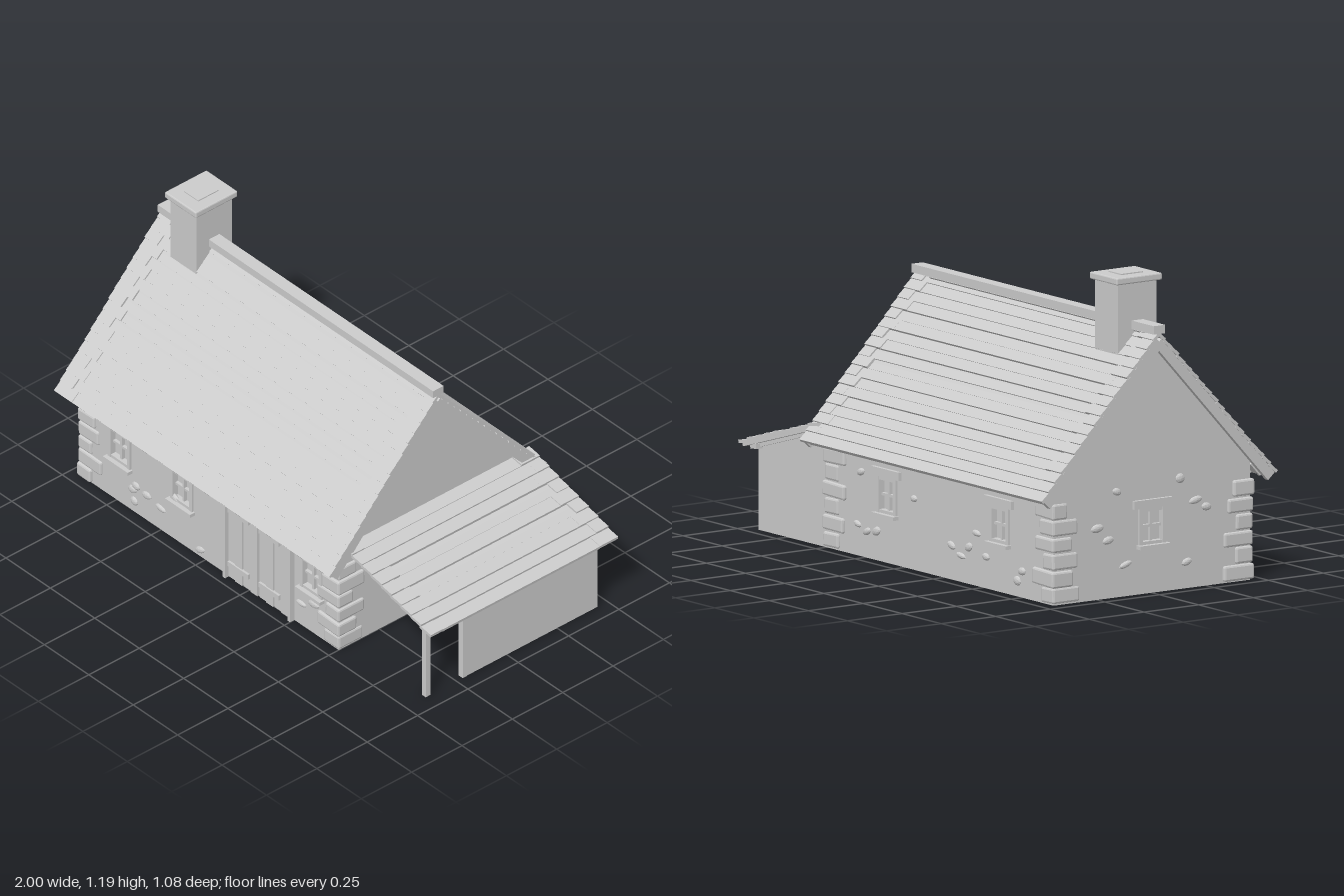
import * as THREE from 'three';
import { RoundedBoxGeometry } from 'three/addons/geometries/RoundedBoxGeometry.js';

const mat = new THREE.MeshStandardMaterial({ color: 0xcccccc, flatShading: true });
mat.name = 'plain grey';

let seed = 7;
const rand = () => (seed = (seed * 16807) % 2147483647) / 2147483647;
const jitter = (a) => (rand() - 0.5) * 2 * a;

function add(parent, name, geo, x = 0, y = 0, z = 0) {
  const m = new THREE.Mesh(geo, mat);
  m.name = name;
  m.position.set(x, y, z);
  parent.add(m);
  return m;
}
// box given by its min and max corners
function box(parent, name, x0, x1, y0, y1, z0, z1) {
  return add(parent, name, new THREE.BoxGeometry(x1 - x0, y1 - y0, z1 - z0),
    (x0 + x1) / 2, (y0 + y1) / 2, (z0 + z1) / 2);
}
function group(parent, name, x = 0, y = 0, z = 0) {
  const g = new THREE.Group();
  g.name = name;
  g.position.set(x, y, z);
  parent.add(g);
  return g;
}

const T = 0.08;                 // wall thickness
const X0 = -0.95, X1 = 0.5, Z = 0.45;
const PITCH = Math.atan(1.09);  // main roof slope

// flat wall outline with window holes, extruded outwards up to local z = 0
function wall(parent, name, outline, windows, depth = T) {
  const s = new THREE.Shape(outline.map(([x, y]) => new THREE.Vector2(x, y)));
  for (const x of windows) {
    s.holes.push(new THREE.Path([[-0.06, 0.18], [-0.06, 0.325], [0.06, 0.325], [0.06, 0.18]]
      .map(([a, b]) => new THREE.Vector2(x + a, b))));
  }
  add(parent, name, new THREE.ExtrudeGeometry(s, { depth, bevelEnabled: false }), 0, 0, -depth);
}

// window in a wall whose outer face is local z = 0
function windowUnit(parent, x) {
  const w = group(parent, 'window', x);
  box(w, 'windowLintel', -0.088, 0.088, 0.325, 0.357, -0.02, 0.014);
  box(w, 'windowSill', -0.07, 0.07, 0.172, 0.186, -0.03, 0.025);
  for (const s of [-1, 1]) {
    const j = box(w, 'windowJamb', -0.008, 0.008, 0.186, 0.325, -0.03, 0.008);
    j.position.x = s * 0.054;
  }
  box(w, 'windowHead', -0.046, 0.046, 0.311, 0.325, -0.03, 0.006);
  box(w, 'windowFoot', -0.046, 0.046, 0.186, 0.198, -0.03, 0.006);
  box(w, 'windowMullion', -0.005, 0.005, 0.198, 0.311, -0.028, -0.004);
  box(w, 'windowTransom', -0.046, 0.046, 0.25, 0.26, -0.028, -0.005);
  box(w, 'windowPane', -0.046, 0.046, 0.198, 0.311, -0.022, -0.018);
}

// small stones showing on both faces of a wall
function wallStones(parent, spots) {
  for (const [x, y] of spots) {
    const w = 0.026 + jitter(0.006), h = 0.015 + jitter(0.004), tilt = jitter(0.5);
    for (const z of [0, -T]) {
      const m = add(parent, 'wallStone', new THREE.IcosahedronGeometry(1, 1), x, y, z);
      m.scale.set(w, h, 0.01);
      m.rotation.z = tilt;
    }
  }
}

// overlapping rows of boards running along x and stepping down along local z
function shingles(parent, length, slope, rows, endWidth) {
  const p = slope / rows, half = length / 2;
  for (let i = 0; i < rows; i++) {
    const z = (i + 0.5) * p, tilt = 0.12;
    const row = (name, x0, x1, lift) => {
      const m = box(parent, name, x0, x1, -0.012, 0, -p * 0.55, p * 0.5);
      m.position.y += lift - 0.003;
      m.position.z += z;
      m.rotation.x = -tilt;
    };
    const a = half - endWidth - (i % 2) * 0.03, b = half - endWidth - ((i + 1) % 2) * 0.03;
    row('shingleRow', -a, b, -0.003 + jitter(0.004));
    row('endShingle', -half, -a, 0.002 + jitter(0.002));
    row('endShingle', b, half, 0.002 + jitter(0.002));
  }
}

function cottageWalls(root) {
  const house = group(root, 'cottageWalls');
  const long = [[X0 + T, 0], [X1 - T, 0], [X1 - T, 0.445], [X0 + T, 0.445]];
  const front = group(house, 'frontWall', 0, 0, Z);
  const frontWindows = [-0.73, -0.38, 0.35];
  wall(front, 'frontWallPanel', long, frontWindows);
  frontWindows.forEach((x) => windowUnit(front, x));
  wallStones(front, [[-0.65, 0.05], [-0.64, 0.125], [-0.66, 0.1], [-0.58, 0.115], [-0.5, 0.1],
    [-0.42, 0.19], [-0.28, 0.03], [0.29, 0.1], [0.36, 0.135], [0.41, 0.09]]);

  const back = group(house, 'backWall', 0, 0, -Z);
  back.rotation.y = Math.PI;
  const backWindows = [-0.11, 0.61];
  wall(back, 'backWallPanel', long.map(([x, y]) => [-x, y]).reverse(), backWindows);
  backWindows.forEach((x) => windowUnit(back, x));
  wallStones(back, [[-0.28, 0.32], [-0.3, 0.12], [-0.24, 0.1], [-0.18, 0.11], [0.06, 0.27],
    [0.3, 0.13], [0.36, 0.1], [0.41, 0.14], [0.46, 0.2], [0.52, 0.12], [0.75, 0.1], [0.72, 0.06]]);

  // gable ends
  const gable = [[-Z, 0], [Z, 0], [Z, 0.455], [0, 0.945], [-Z, 0.455]];
  const left = group(house, 'leftGable', X1);
  left.rotation.y = Math.PI / 2;
  wall(left, 'leftGablePanel', gable, []);
  const right = group(house, 'rightGable', X0);
  right.rotation.y = -Math.PI / 2;
  wall(right, 'rightGablePanel', gable, [0]);
  windowUnit(right, 0);
  wallStones(right, [[-0.25, 0.27], [-0.2, 0.22], [0.2, 0.33], [0.25, 0.3], [0.16, 0.1],
    [-0.12, 0.12], [-0.16, 0.4], [0.13, 0.42]]);

  // quoins, long side alternating between the two faces of each corner
  for (const [cx, sx] of [[X0, 1], [X1, -1]]) for (const sz of [-1, 1]) {
    for (let i = 0; i < 6; i++) {
      const h = 0.058 + jitter(0.005), out = 0.009 + jitter(0.005);
      const lx = (i % 2 ? 0.115 : 0.075) + jitter(0.012), lz = (i % 2 ? 0.075 : 0.115) + jitter(0.012);
      const g = new RoundedBoxGeometry(lx + out, h, lz + out, 1, 0.008);
      const m = add(house, 'cornerStone', g, cx + sx * (lx - out) / 2, 0.034 + i * 0.064, sz * (Z - (lz - out) / 2));
      m.rotation.z = jitter(0.04);
    }
  }
}

function door(root) {
  const d = group(root, 'doubleDoor', 0, 0, Z);
  box(d, 'doorPost', -0.13, -0.115, 0, 0.4, -0.01, 0.022);
  box(d, 'doorPost', 0.235, 0.25, 0, 0.4, -0.01, 0.022);
  box(d, 'doorHead', -0.115, 0.235, 0.385, 0.4, -0.01, 0.02);
  for (const x of [-0.112, 0.062]) {
    for (let i = 0; i < 4; i++) {
      const w = 0.0425;
      box(d, 'doorPlank', x + i * w, x + (i + 1) * w - 0.004, 0.006, 0.384, -0.01, 0.008 + (i % 2) * 0.004);
    }
    for (const y of [0.06, 0.31]) box(d, 'doorBatten', x + 0.006, x + 0.12, y, y + 0.022, 0, 0.018);
  }
}

function mainRoof(root) {
  const roof = group(root, 'mainRoof', -0.225, 1.0, 0);
  for (const turn of [0, Math.PI]) {
    const side = group(roof, 'roofSide');
    side.rotation.y = turn;
    const slope = group(side, 'roofSlope');
    slope.rotation.x = PITCH;
    box(slope, 'roofDeck', -0.765, 0.765, -0.04, -0.01, 0.03, 0.79);
    for (const s of [-1, 1]) {
      const b = box(slope, 'bargeBoard', -0.01, 0.01, -0.052, -0.012, 0.03, 0.795);
      b.position.x = s * 0.763;
    }
    for (let i = 0; i < 24; i++) {
      const x = -0.72 + i * 0.0626;
      box(slope, 'rafterTail', x - 0.006, x + 0.006, -0.048, -0.04, 0.72, 0.785);
    }
    shingles(slope, 1.55, 0.8, 18, 0.07);
  }
  box(roof, 'ridgeCap', -0.775, 0.775, -0.012, 0.02, -0.026, 0.026);
}

function chimney(root) {
  const c = group(root, 'chimney', -0.785);
  box(c, 'chimneyStack', -0.073, 0.073, 0.82, 1.165, -0.088, 0.088);
  add(c, 'chimneyCap', new RoundedBoxGeometry(0.176, 0.027, 0.208, 1, 0.005), 0, 1.176, 0);
  box(c, 'chimneyTop', -0.04, 0.04, 1.185, 1.194, -0.05, 0.05);
}

function leanTo(root) {
  const shed = group(root, 'leanTo');
  box(shed, 'shedSideWall', 0.915, 0.935, 0, 0.325, -0.45, 0.2);
  box(shed, 'shedWallPost', 0.913, 0.937, 0, 0.325, 0.2, 0.22);
  box(shed, 'shedPost', 0.913, 0.935, 0, 0.33, 0.378, 0.402);
  box(shed, 'shedBeam', 0.91, 0.938, 0.312, 0.332, -0.48, 0.41);
  const back = group(shed, 'shedBack', 0, 0, -0.45);
  back.rotation.y = Math.PI;
  wall(back, 'shedBackWall', [[-0.935, 0], [-0.5, 0], [-0.5, 0.455], [-0.935, 0.33]], [], 0.02);

  // sloping roof, its boards running front to back
  const roof = group(shed, 'shedRoof', 0.5, 0.48, -0.034);
  const tilt = group(roof, 'shedRoofSlope');
  roof.rotation.z = -Math.atan(0.29);
  tilt.rotation.y = Math.PI / 2;
  box(tilt, 'shedDeck', -0.455, 0.455, -0.026, -0.01, 0, 0.508);
  for (let i = 0; i < 7; i++) {
    const x = -0.42 + i * 0.14;
    box(tilt, 'shedRafter', x - 0.008, x + 0.008, -0.04, -0.026, 0, 0.5);
  }
  shingles(tilt, 0.93, 0.518, 9, 0.06);
}

export function createModel() {
  const root = new THREE.Group();
  root.name = 'stoneCottage';
  cottageWalls(root);
  door(root);
  mainRoof(root);
  chimney(root);
  leanTo(root);
  return root;
}
